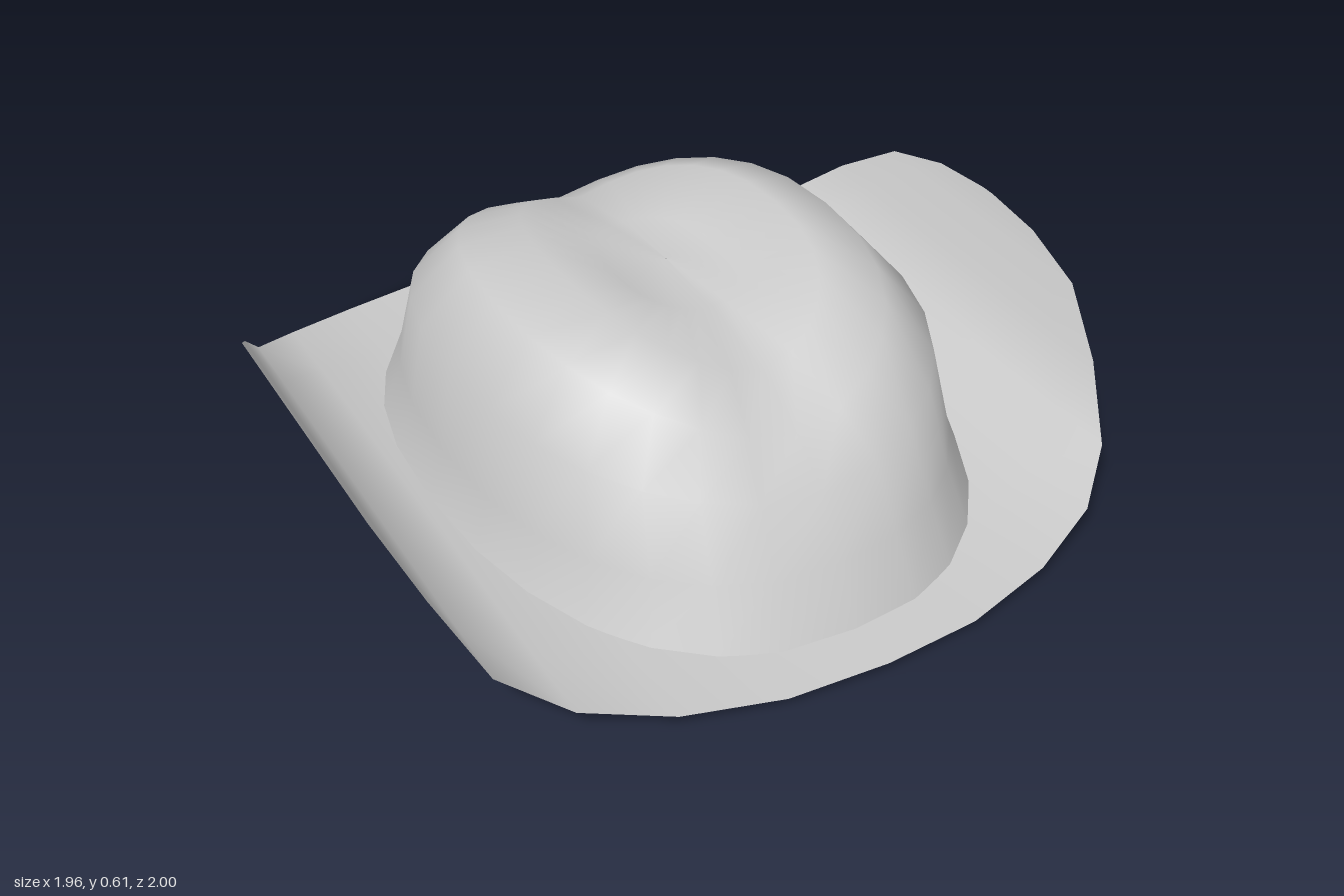
import * as THREE from 'three';

// Half outline of the brim: [x, half length in z, height]
const STATIONS = [
  [0, 1, 0.02], [0.25, 0.98, 0.017], [0.49, 0.92, 0.033], [0.69, 0.83, 0.07], [0.825, 0.71, 0.135],
  [0.9, 0.56, 0.27], [0.955, 0.39, 0.385], [0.973, 0.2, 0.435], [0.978, 0.02, 0.45],
];

// Brim height: curls up with |x|, tips slightly up at the front
function brimY(x, z) {
  const ax = Math.abs(x);
  let i = 1;
  while (i < STATIONS.length - 1 && STATIONS[i][0] < ax) i++;
  const [x0, , y0] = STATIONS[i - 1], [x1, , y1] = STATIONS[i];
  const y = y0 + (y1 - y0) * (ax - x0) / (x1 - x0);
  return y + 0.014 * z * Math.max(0, 1 - ax * ax / 0.7);
}

// Smooth surface through rows of points of equal length
function loft(rows) {
  const n = rows[0].length, index = [];
  for (let r = 0; r < rows.length - 1; r++) {
    for (let c = 0; c < n; c++) {
      const d = (c + 1) % n;
      if (d === 0 && !rows.closed) continue;
      const a = r * n + c, b = r * n + d;
      index.push(a, a + n, b, b, a + n, b + n);
    }
  }
  const geo = new THREE.BufferGeometry();
  geo.setAttribute('position', new THREE.Float32BufferAttribute(rows.flat(2), 3));
  geo.setIndex(index);
  geo.computeVertexNormals();
  return geo;
}

function makeBrim() {
  const mirrored = STATIONS.slice(1).reverse().map(([x, l, y]) => [-x, l, y]);
  const steps = 8;
  const rows = [...mirrored, ...STATIONS].map(([x, len]) => {
    const row = [];
    for (let i = 0; i <= steps; i++) {
      const z = len * (1 - 2 * i / steps);
      row.push([x, brimY(x, z), z]);
    }
    return row;
  });
  return loft(rows);
}

// Crown rings from base to dented top: [half width, half length, side height, end height]
const RINGS = [
  [0.66, 0.87, 0.06, 0.02], [0.615, 0.795, 0.19, 0.17], [0.585, 0.71, 0.42, 0.305],
  [0.46, 0.6, 0.565, 0.4], [0.305, 0.45, 0.617, 0.485], [0.14, 0.22, 0.54, 0.53], [0.002, 0.003, 0.542, 0.542],
];

function makeCrown() {
  const sides = 28;
  const soft = (v) => Math.sign(v) * Math.abs(v) ** 0.88;
  const rows = RINGS.map(([rx, rz, ySide, yEnd], k) => {
    const row = [];
    for (let i = 0; i < sides; i++) {
      const a = (i / sides) * Math.PI * 2;
      const x = rx * soft(Math.cos(a)), z = rz * soft(Math.sin(a));
      const y = yEnd + (ySide - yEnd) * Math.abs(Math.cos(a)) ** 1.1;
      row.push([x, k === 0 ? brimY(x, z) - 0.002 : y, z]);
    }
    return row;
  });
  rows.closed = true;
  return loft(rows);
}

export function createModel() {
  const group = new THREE.Group();
  group.name = 'hat';
  const felt = new THREE.MeshStandardMaterial({ color: 0xcccccc, side: THREE.DoubleSide });
  for (const [name, geo] of [['brim', makeBrim()], ['crown', makeCrown()]]) {
    const mesh = new THREE.Mesh(geo, felt);
    mesh.name = name;
    group.add(mesh);
  }
  return group;
}
